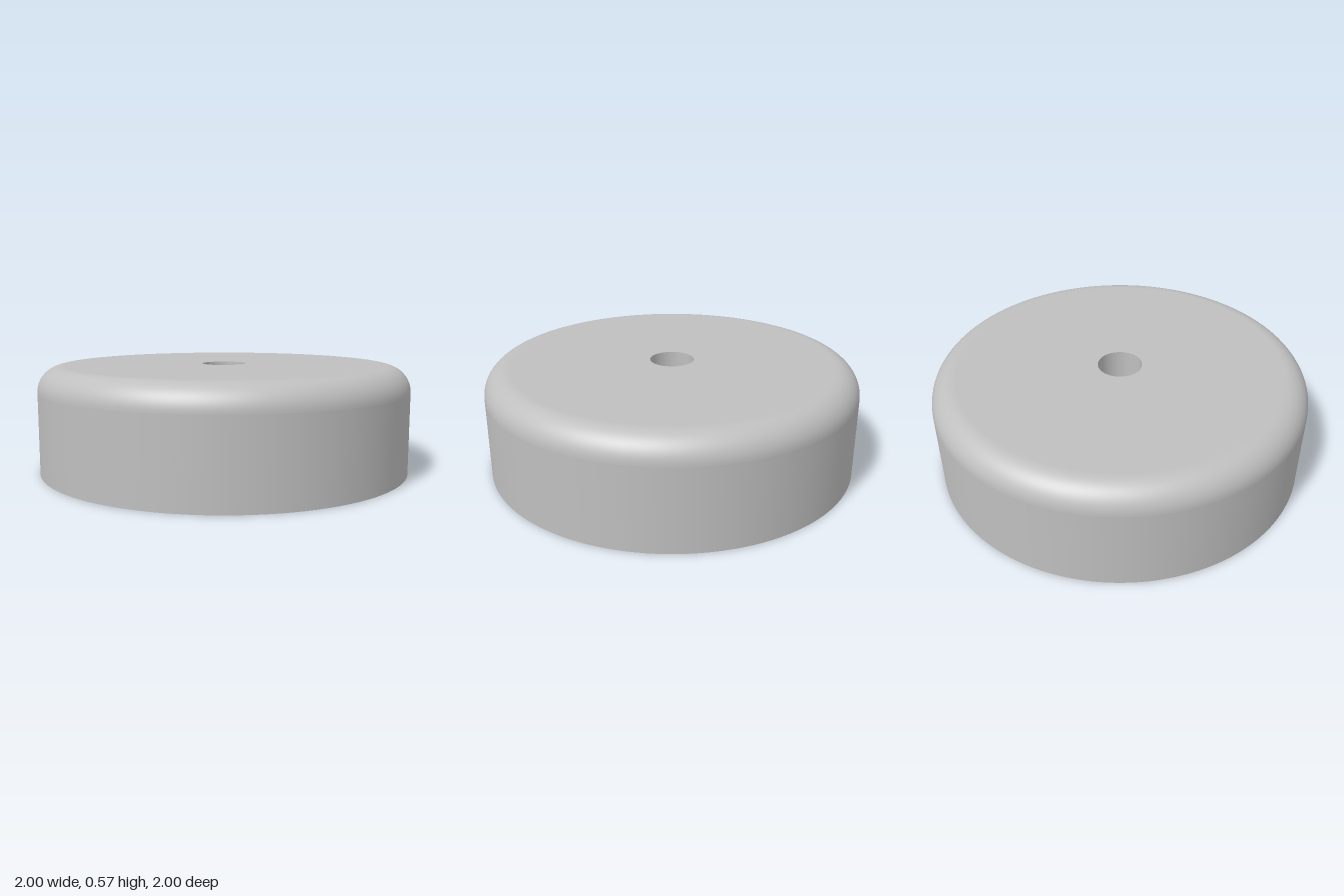
import * as THREE from 'three';

export function createModel() {
  const group = new THREE.Group();
  const grey = new THREE.MeshStandardMaterial({ color: 0xbfbfbf });
  grey.name = 'plain grey';

  const height = 0.566, ceiling = 0.52;
  const outer = 1, inner = 0.964, boss = 0.266, hole = 0.118, fillet = 0.132;

  // Revolve a run of [radius, height] points; separate runs keep edges sharp
  function revolve(name, points) {
    const profile = points.map(([r, y]) => new THREE.Vector2(r, y));
    const mesh = new THREE.Mesh(new THREE.LatheGeometry(profile, 128), grey);
    mesh.name = name;
    group.add(mesh);
  }

  // Rounded shoulder between the side wall and the flat top
  const shoulder = [];
  for (let i = 0; i <= 16; i++) {
    const a = (i / 16) * Math.PI / 2;
    shoulder.push([outer - fillet + fillet * Math.cos(a), height - fillet + fillet * Math.sin(a)]);
  }

  // Outside of the cap
  revolve('outerWall', [[outer, 0], [outer, height - fillet]]);
  revolve('roundedShoulder', shoulder);
  revolve('topFace', [[outer - fillet, height], [hole, height]]);

  // Through hole and central boss
  revolve('holeWall', [[hole, height], [hole, 0]]);
  revolve('bossEnd', [[hole, 0], [boss, 0]]);
  revolve('bossWall', [[boss, 0], [boss, ceiling]]);

  // Hollow underside and bottom rim
  revolve('ceiling', [[boss, ceiling], [inner, ceiling]]);
  revolve('innerWall', [[inner, ceiling], [inner, 0]]);
  revolve('bottomRim', [[inner, 0], [outer, 0]]);

  return group;
}
